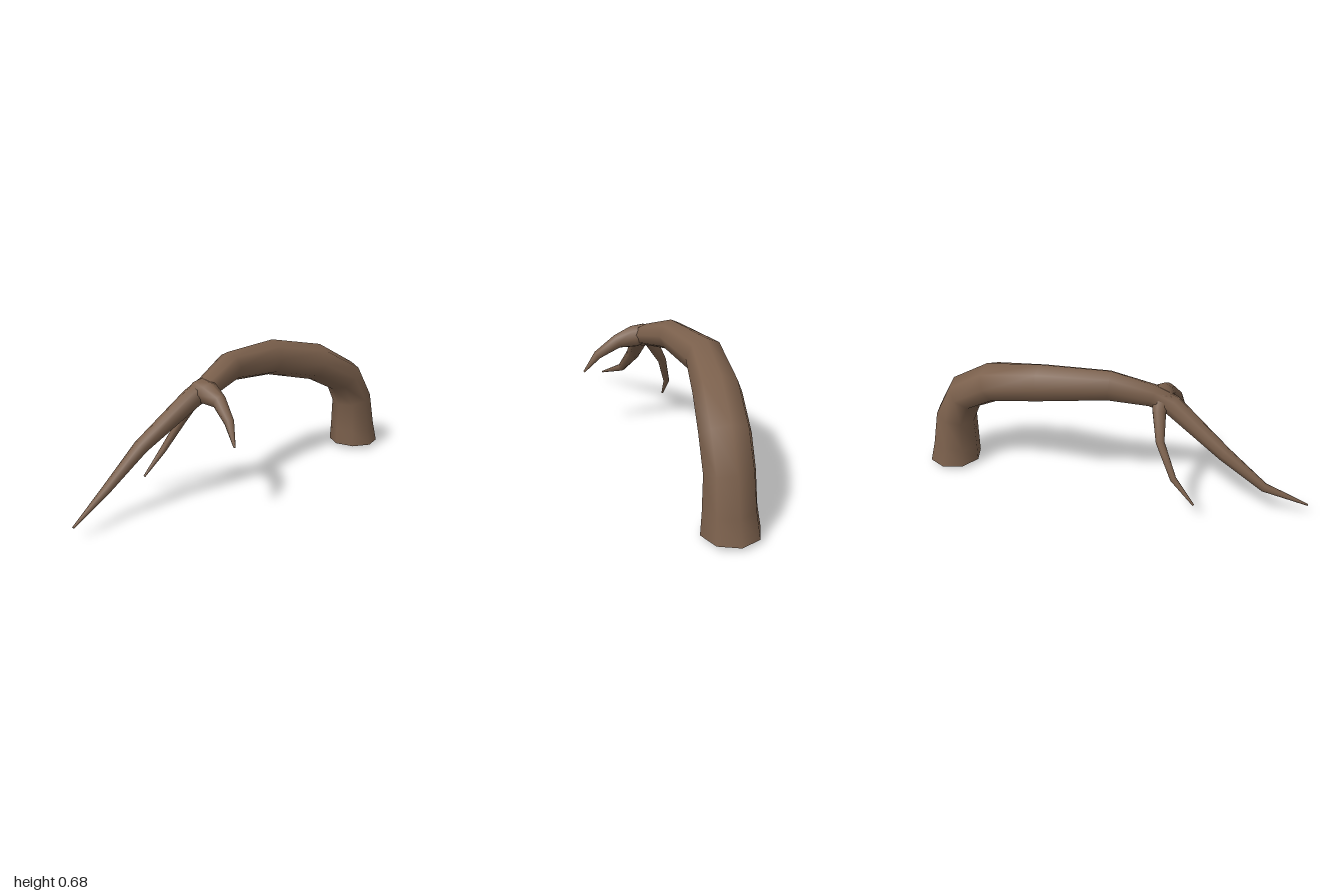
import * as THREE from 'three';

const SIDES = 8;

// Sweeps rings along stations [x, y, z, radius, sideRadius]; `side` is the rough sideways axis.
function limb(name, stations, side, material, startDir) {
  const pts = stations.map(s => new THREE.Vector3(s[0], s[1], s[2]));
  const last = pts.length - 1;
  const pos = [], index = [];
  pts.forEach((p, i) => {
    const t = new THREE.Vector3();
    if (i === 0 && startDir) t.copy(startDir);
    else {
      if (i > 0) t.add(p.clone().sub(pts[i - 1]).normalize());
      if (i < last) t.add(pts[i + 1].clone().sub(p).normalize());
    }
    t.normalize();
    const u = side.clone().cross(t).normalize();
    const v = t.clone().cross(u);
    const r = stations[i][3], w = stations[i][4] ?? r;
    for (let j = 0; j < SIDES; j++) {
      const a = j / SIDES * Math.PI * 2;
      const q = p.clone().addScaledVector(u, r * Math.cos(a)).addScaledVector(v, w * Math.sin(a));
      pos.push(q.x, q.y, q.z);
      if (i < last) {
        const k = (j + 1) % SIDES, n = i * SIDES, m = n + SIDES;
        index.push(n + j, n + k, m + j, n + k, m + k, m + j);
      }
    }
  });
  // closed tip
  const tip = pos.length / 3;
  pos.push(pts[last].x, pts[last].y, pts[last].z);
  for (let j = 0; j < SIDES; j++) index.push(last * SIDES + j, last * SIDES + (j + 1) % SIDES, tip);
  const g = new THREE.BufferGeometry();
  g.setAttribute('position', new THREE.Float32BufferAttribute(pos, 3));
  g.setIndex(index);
  g.computeVertexNormals();
  const mesh = new THREE.Mesh(g, material);
  mesh.name = name;
  return mesh;
}

export function createModel() {
  const group = new THREE.Group();
  group.name = 'bentBranch';
  const bark = new THREE.MeshStandardMaterial({ color: 0x7b604c });
  bark.name = 'bark brown';
  const X = new THREE.Vector3(1, 0, 0), Z = new THREE.Vector3(0, 0, 1);

  // Arched trunk running on into the long tapering branch
  group.add(limb('trunk', [
    [0.865, 0.02, -0.12, 0.135],
    [0.85, 0.12, -0.118, 0.12, 0.123],
    [0.833, 0.285, -0.117, 0.102, 0.115],
    [0.758, 0.423, -0.12, 0.098, 0.115],
    [0.57, 0.527, -0.15, 0.1, 0.11],
    [0.285, 0.588, -0.188, 0.094],
    [-0.03, 0.6, -0.12, 0.076, 0.07],
    [-0.22, 0.547, -0.042, 0.055, 0.058],
    [-0.32, 0.508, -0.032, 0.052, 0.052],
    [-0.59, 0.315, -0.06, 0.036],
    [-0.79, 0.16, -0.038, 0.022],
    [-0.995, 0.062, 0.038, 0.005],
  ], Z, bark, new THREE.Vector3(0, 1, 0)));

  // Shallow pointed underside of the trunk
  const base = new THREE.Mesh(new THREE.ConeGeometry(0.135, 0.02, SIDES, 1, true), bark);
  base.name = 'trunkBase';
  base.rotation.x = Math.PI;
  base.position.set(0.865, 0.01, -0.12);
  group.add(base);

  // Short twig reaching forward
  group.add(limb('frontTwig', [
    [-0.255, 0.545, -0.05, 0.05, 0.07],
    [-0.258, 0.53, 0.02, 0.058, 0.056],
    [-0.257, 0.51, 0.105, 0.038, 0.034],
    [-0.275, 0.44, 0.205, 0.024, 0.024],
    [-0.298, 0.343, 0.276, 0.005],
  ], X, bark));

  // Thin twig hanging behind
  group.add(limb('backTwig', [
    [-0.265, 0.54, -0.035, 0.05],
    [-0.272, 0.485, -0.085, 0.034],
    [-0.302, 0.365, -0.152, 0.022],
    [-0.388, 0.21, -0.202, 0.016],
    [-0.495, 0.093, -0.21, 0.005],
  ], Z, bark));

  return group;
}
